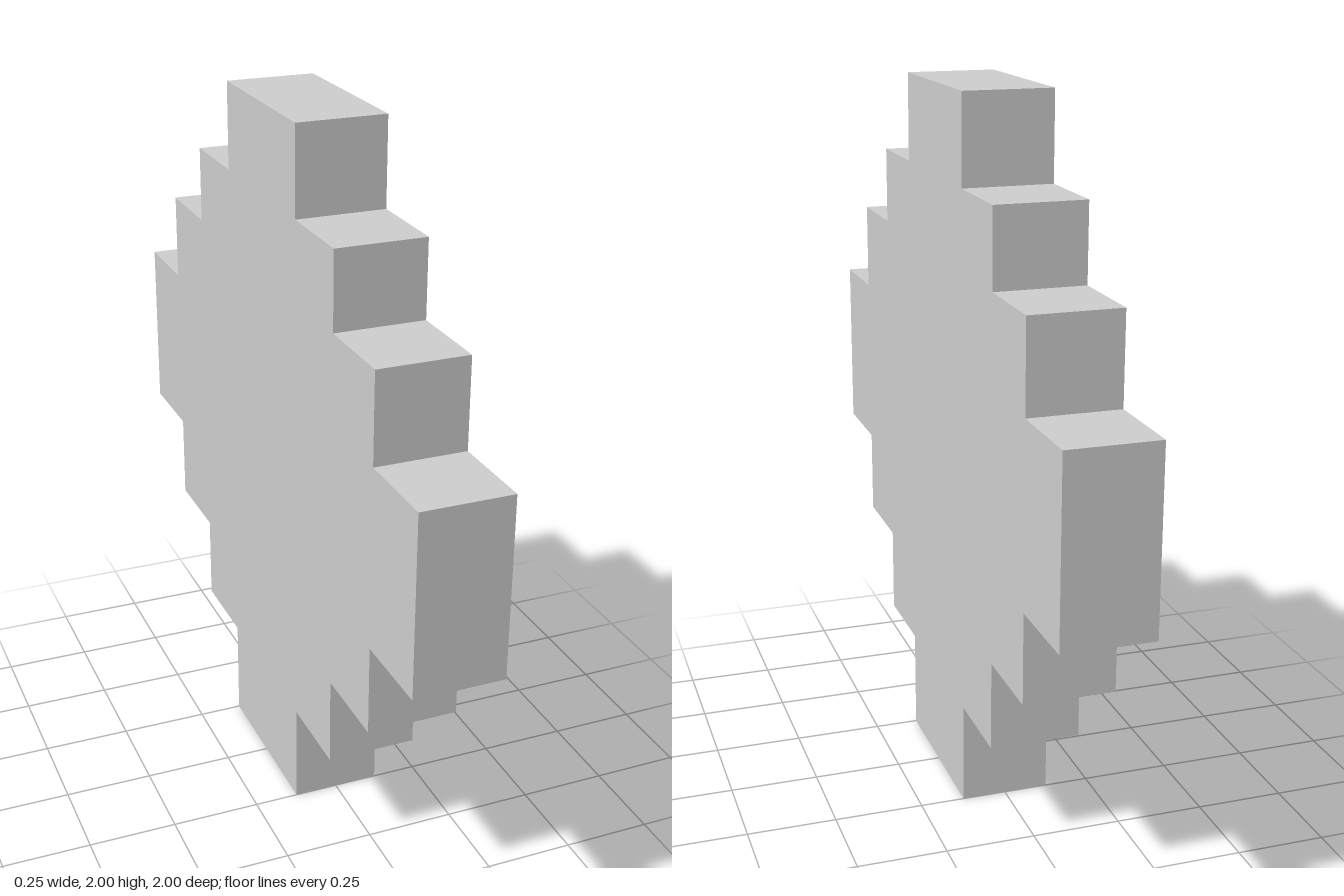
import * as THREE from 'three';

export function createModel() {
  const group = new THREE.Group();
  const thickness = 0.25;

  // Stepped diamond outline: [half width, bottom, top] of each tier
  const tiers = [
    [0.25, 0, 0.29],
    [0.5, 0.29, 0.54],
    [0.75, 0.54, 0.79],
    [1, 0.79, 1.29],
    [0.75, 1.29, 1.54],
    [0.5, 1.54, 1.755],
    [0.25, 1.755, 2],
  ];

  // Right edge going up, then its mirror going down
  const rightEdge = tiers.flatMap(([w, y0, y1]) => [
    new THREE.Vector2(w, y0),
    new THREE.Vector2(w, y1),
  ]);
  const leftEdge = rightEdge.map((p) => new THREE.Vector2(-p.x, p.y)).reverse();
  const outline = new THREE.Shape([...rightEdge, ...leftEdge]);

  // Slab, turned so that its thickness runs along x
  const geometry = new THREE.ExtrudeGeometry(outline, { depth: thickness, bevelEnabled: false });
  geometry.translate(0, 0, -thickness / 2);
  geometry.rotateY(Math.PI / 2);

  const slab = new THREE.Mesh(
    geometry,
    new THREE.MeshStandardMaterial({ color: 0xcccccc, flatShading: true })
  );
  slab.name = 'steppedSlab';
  group.add(slab);
  return group;
}
